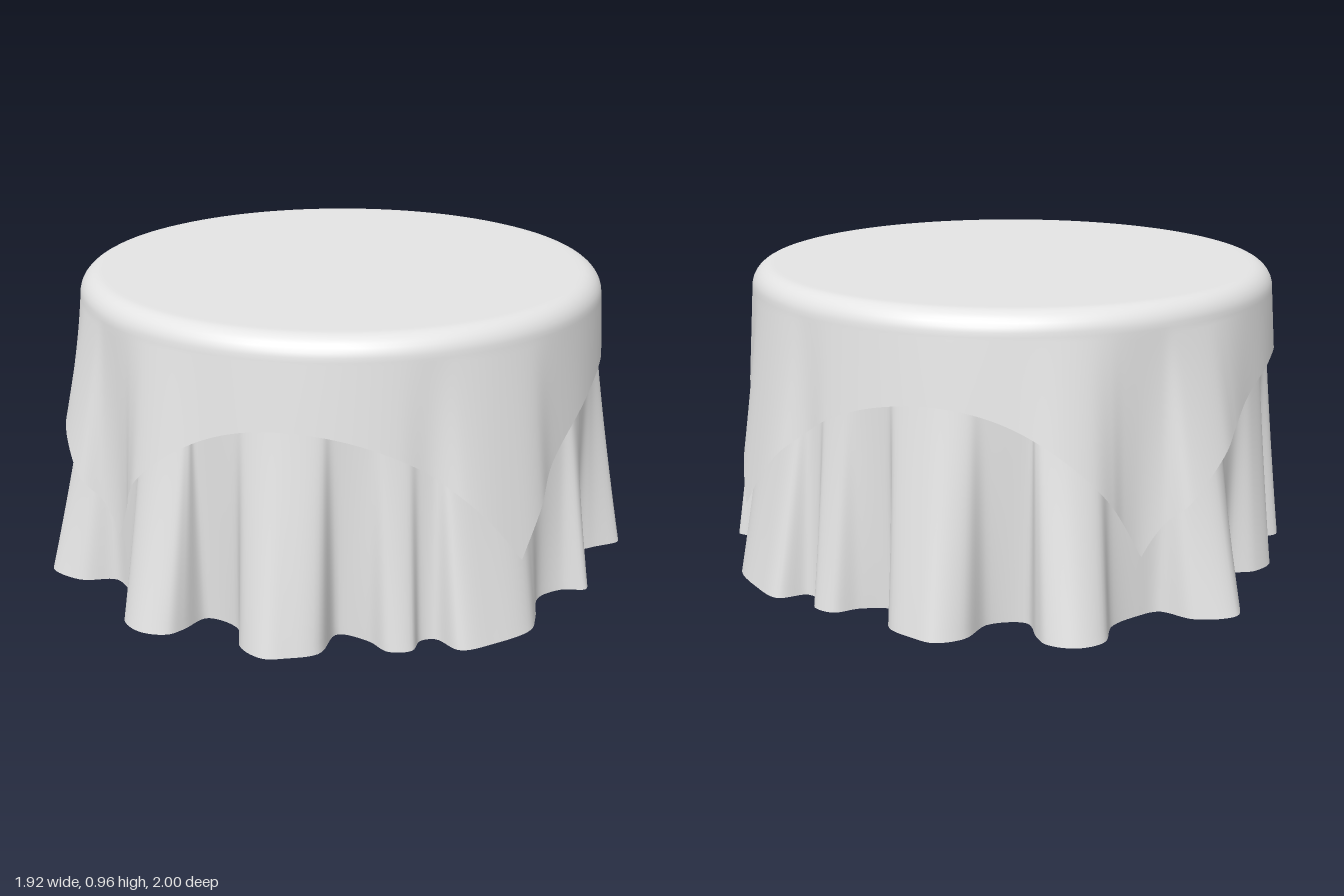
import * as THREE from 'three';

const CX = -0.03; // the round top sits slightly off centre
const SEGMENTS = 480;
const WALL_ROWS = 26;
const rad = THREE.MathUtils.degToRad;
const lerp = THREE.MathUtils.lerp;

// Closed smooth outline from half an outline [x, z], mirrored in z
function mirroredOutline(half) {
  const back = half.slice(1, -1).reverse().map(([x, z]) => [x, -z]);
  const pts = [...half, ...back].map(([x, z]) => new THREE.Vector3(x, 0, z));
  return new THREE.CatmullRomCurve3(pts, true, 'centripetal');
}

// Draped cloth: round rows [radius, y], then a wall blending from the last row to the floor outline
function drapedCloth(name, material, outline, profile, flare, hemHeight) {
  const [rim, rimY] = profile[profile.length - 1];
  const rows = profile.length + WALL_ROWS;
  const floor = outline.getPoints(SEGMENTS).slice(0, SEGMENTS);
  const pos = [], index = [];
  for (let r = 0; r < rows; r++) {
    for (const f of floor) {
      const angle = Math.atan2(f.z, f.x - CX);
      const c = Math.cos(angle), s = Math.sin(angle);
      if (r < profile.length) {
        const [pr, py] = profile[r];
        pos.push(CX + pr * c, py, pr * s);
      } else {
        const y = lerp(rimY, hemHeight(angle), (r - profile.length + 1) / WALL_ROWS);
        const w = Math.pow(1 - y / rimY, flare);
        pos.push(lerp(CX + rim * c, f.x, w), y, lerp(rim * s, f.z, w));
      }
    }
  }
  for (let r = 0; r < rows - 1; r++) {
    for (let j = 0; j < SEGMENTS; j++) {
      const k = (j + 1) % SEGMENTS;
      const a = r * SEGMENTS + j, d = r * SEGMENTS + k;
      const b = a + SEGMENTS, e = d + SEGMENTS;
      index.push(a, d, b, d, e, b);
    }
  }
  const geo = new THREE.BufferGeometry();
  geo.setAttribute('position', new THREE.Float32BufferAttribute(pos, 3));
  geo.setIndex(index);
  geo.computeVertexNormals();
  const mesh = new THREE.Mesh(geo, material);
  mesh.name = name;
  return mesh;
}

export function createModel() {
  const group = new THREE.Group();
  group.name = 'tableWithCloths';
  const linen = new THREE.MeshStandardMaterial({ color: 0xe4e4e4, side: THREE.DoubleSide });
  linen.name = 'linen';

  // Pleated floor-length skirt, open at the top under the overlay
  const pleats = mirroredOutline([
    [0.96, 0], [0.87, 0.07], [0.815, 0.12], [0.815, 0.21], [0.845, 0.29], [0.86, 0.38],
    [0.78, 0.40], [0.71, 0.47], [0.71, 0.60], [0.70, 0.68], [0.60, 0.78], [0.50, 0.84],
    [0.42, 0.79], [0.375, 0.81], [0.36, 0.87], [0.29, 0.89], [0.22, 0.84], [0.12, 0.82],
    [0.09, 0.94], [0, 0.985], [-0.07, 1.0], [-0.15, 0.95], [-0.19, 0.84], [-0.30, 0.80],
    [-0.35, 0.88], [-0.39, 0.92], [-0.48, 0.92], [-0.55, 0.86], [-0.55, 0.75], [-0.61, 0.66],
    [-0.67, 0.61], [-0.78, 0.635], [-0.90, 0.58], [-0.905, 0.52], [-0.84, 0.38],
    [-0.83, 0.27], [-0.92, 0.22], [-0.96, 0.13], [-0.88, 0.06], [-0.86, 0],
  ]);
  group.add(drapedCloth('pleatedSkirt', linen, pleats, [[0.855, 0.86]], 1.2, () => 0));

  // Square overlay: folds given as [angle, radius at floor level]
  const folds = mirroredOutline([
    [0, 0.93], [20, 0.945], [33, 0.945], [39, 1.01], [46, 1.02], [56, 1.015], [62, 0.94],
    [68, 0.97], [80, 0.975], [92, 0.985], [105, 0.985], [114, 1.03], [120, 1.02], [124, 0.965],
    [127, 0.92], [131, 0.905], [135, 0.935], [139, 1.04], [147, 1.085], [152, 1.04],
    [160, 0.965], [170, 0.955], [180, 0.94],
  ].map(([a, r]) => [CX + r * Math.cos(rad(a)), r * Math.sin(rad(a))]));

  // Flat table top with a rounded rim
  const topProfile = [[0, 0.963], [0.4, 0.963], [0.785, 0.963]];
  for (let i = 0; i <= 8; i++) {
    const a = (i / 8) * Math.PI / 2;
    topProfile.push([0.803 + 0.072 * Math.sin(a), 0.891 + 0.072 * Math.cos(a)]);
  }

  // Hem of a square cloth: high at the middle of each side, low at the corners
  const quarter = Math.PI / 2, corner = rad(131);
  const squareHem = (angle) => {
    const a = Math.abs(angle);
    let phi, half = 1.17;
    if (a < quarter) {
      phi = Math.min(a, quarter - a);
      half = 1.07;
    } else if (a < corner) {
      phi = (quarter / 2) * (a - quarter) / (corner - quarter);
    } else {
      phi = (quarter / 2) * (Math.PI - a) / (Math.PI - corner);
    }
    return 0.685 - half * (1 / Math.cos(phi) - 1);
  };
  group.add(drapedCloth('squareOverlayCloth', linen, folds, topProfile, 1, squareHem));

  return group;
}
